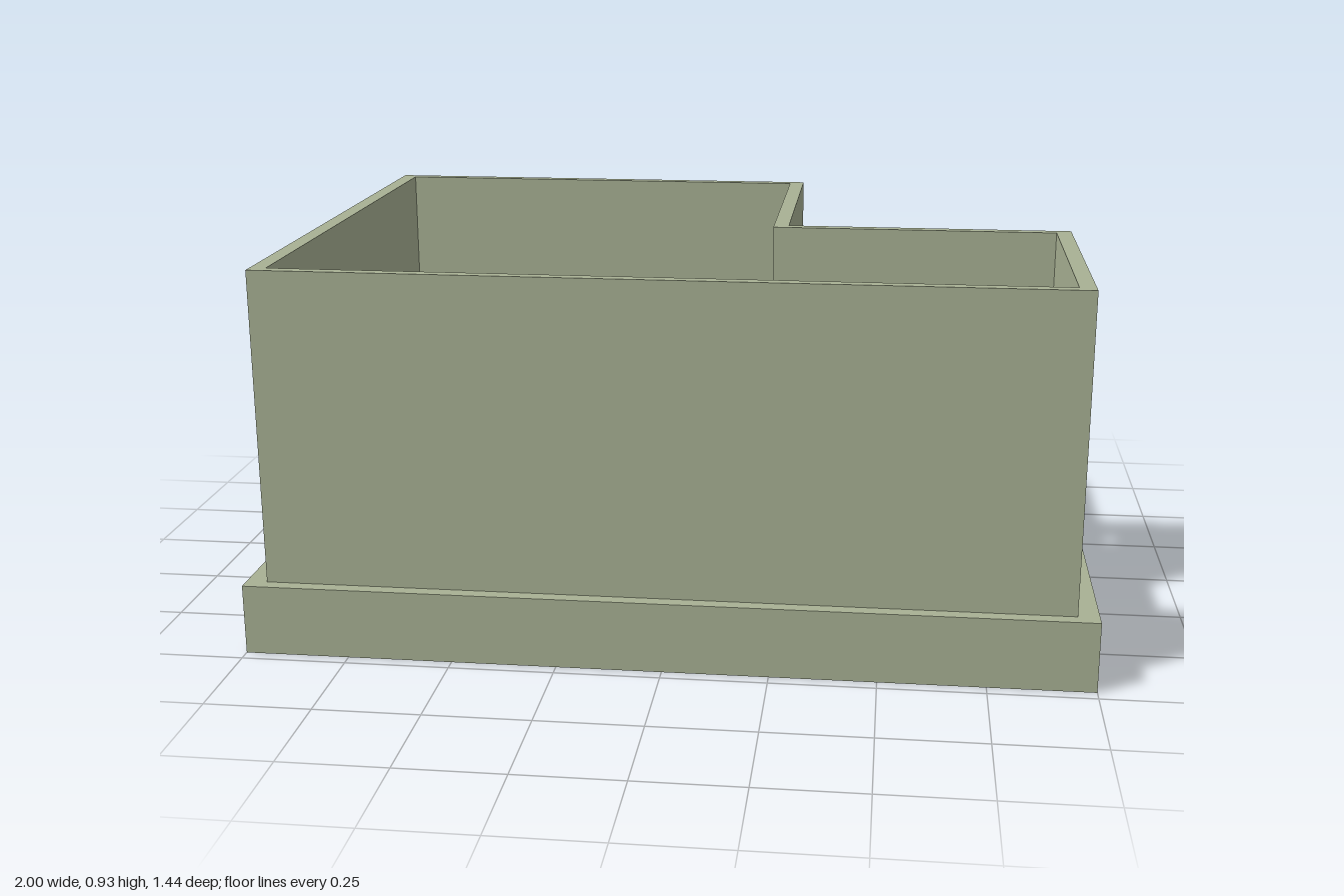
import * as THREE from 'three';

const BASE_TOP = 0.17, WALL_TOP = 0.927;
const TX = 0.038, TZ = 0.028; // thickness of side walls and of front/back walls

// Arched window, slightly wider at the springing line, centred on u = c
function archedWindow(c) {
  const p = new THREE.Path();
  p.moveTo(c - 0.128, 0.367);
  p.lineTo(c + 0.128, 0.367);
  p.lineTo(c + 0.148, 0.59);
  p.bezierCurveTo(c + 0.148, 0.66, c + 0.09, 0.697, c, 0.697);
  p.bezierCurveTo(c - 0.09, 0.697, c - 0.148, 0.66, c - 0.148, 0.59);
  p.closePath();
  return p;
}

export function createModel() {
  const group = new THREE.Group();
  const material = new THREE.MeshStandardMaterial({ color: 0xa8b194 });

  const add = (name, geometry) => {
    const mesh = new THREE.Mesh(geometry, material);
    mesh.name = name;
    group.add(mesh);
    return mesh;
  };

  // Upright wall from u0 to u1, with an optional window hole or door notch
  const wallGeometry = (u0, u1, depth, { window, door } = {}) => {
    const s = new THREE.Shape();
    s.moveTo(u0, BASE_TOP);
    if (door) {
      s.lineTo(door[0], BASE_TOP);
      s.lineTo(door[0], door[2]);
      s.lineTo(door[1], door[2]);
      s.lineTo(door[1], BASE_TOP);
    }
    s.lineTo(u1, BASE_TOP);
    s.lineTo(u1, WALL_TOP);
    s.lineTo(u0, WALL_TOP);
    s.closePath();
    if (window !== undefined) s.holes.push(archedWindow(window));
    return new THREE.ExtrudeGeometry(s, { depth, bevelEnabled: false, curveSegments: 10 });
  };

  // Wall running along x, its back face at z
  const wallX = (name, x0, x1, z, opening) => {
    add(name, wallGeometry(x0, x1, TZ, opening)).position.z = z;
  };
  // Wall running along z, its +x face at x
  const wallZ = (name, z0, z1, x, opening) => {
    add(name, wallGeometry(z0, z1, TX, opening).rotateY(-Math.PI / 2)).position.x = x;
  };

  // Base slab
  add('base', new THREE.BoxGeometry(2, BASE_TOP, 1.436).translate(0, BASE_TOP / 2, 0));

  // L-shaped ring of walls, open at the top
  wallX('frontWall', -0.912, 0.912, 0.685 - TZ);
  wallX('backWall', -0.912, 0.202, -0.685);
  wallX('recessBackWall', 0.24, 0.912, 0, { window: 0.595 });
  wallZ('rightWall', -0.685, 0.685, -0.95 + TX);
  wallZ('leftWall', 0, 0.685, 0.95, { window: 0.345 });
  wallZ('doorWall', -0.685, TZ, 0.24, { door: [-0.484, -0.195, 0.643] });

  return group;
}
